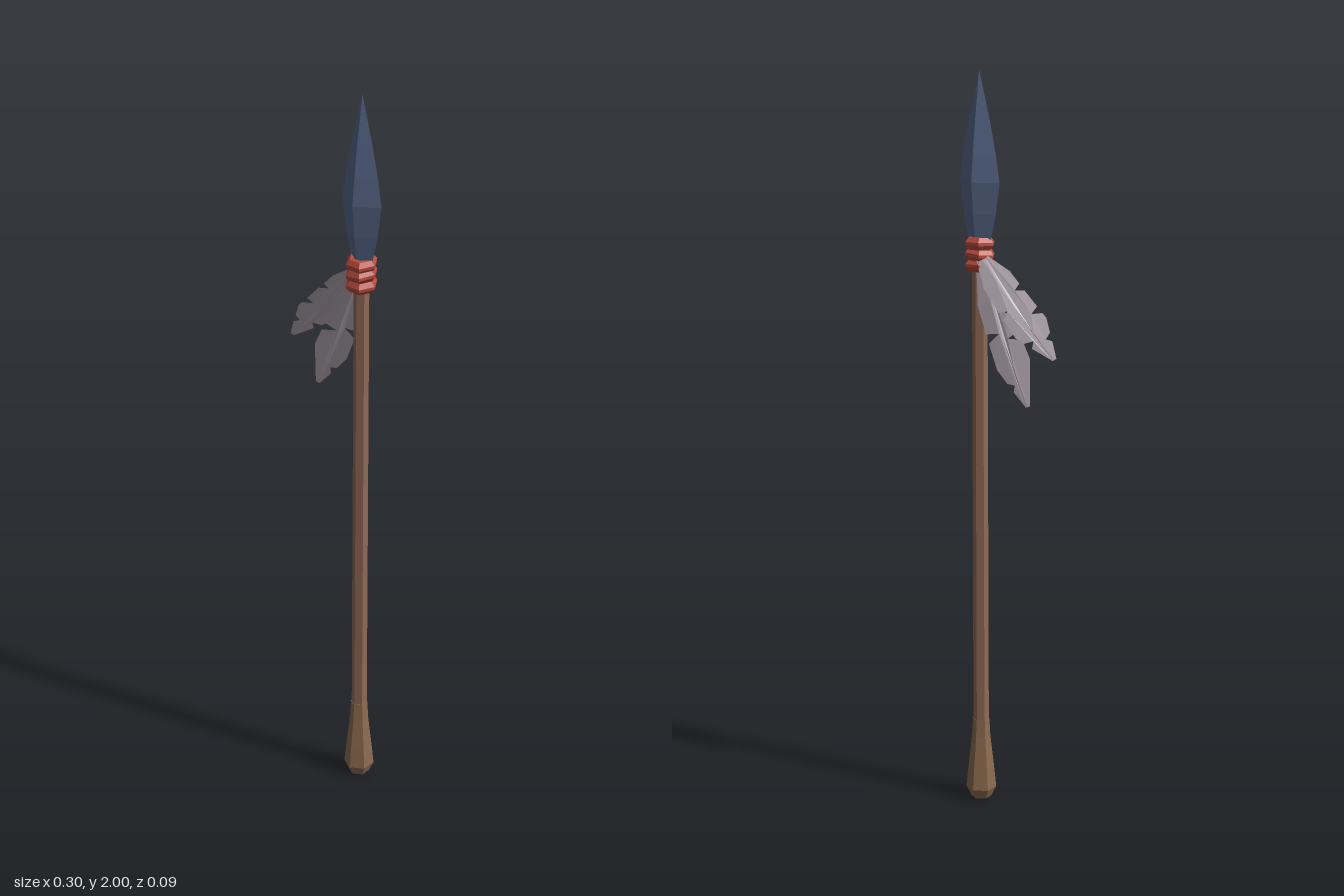
import * as THREE from 'three';
import { mergeGeometries } from 'three/addons/utils/BufferGeometryUtils.js';

const mat = (name, color, side = THREE.FrontSide) =>
  Object.assign(new THREE.MeshStandardMaterial({ color, side, flatShading: true }), { name });

// Faceted solid of revolution from [radius, y] pairs, bottom to top
function turned(points, sides, phi = 0) {
  const g = new THREE.LatheGeometry(points.map(([r, y]) => new THREE.Vector2(r, y)), sides, phi)
    .toNonIndexed();
  g.computeVertexNormals();
  return g;
}

// One feather: two notched halves folded along the quill.
// start/end are [x, y]; quillZ gives z along the quill; slope tilts the blade across it.
function feather(start, end, width, quillZ, slope, notches) {
  const a = new THREE.Vector2(...start);
  const dir = new THREE.Vector2(...end).sub(a);
  const length = dir.length();
  dir.normalize();
  const across = new THREE.Vector2(-dir.y, dir.x); // towards the shaft, lower right
  const outline = u => u < 0.25 ? 0.2 + 0.65 * u / 0.25
    : u < 0.7 ? 0.85 + 0.15 * (u - 0.25) / 0.45 : 1 - 0.85 * (u - 0.7) / 0.3;
  const curve = new THREE.CatmullRomCurve3(quillZ.map((z, i) => new THREE.Vector3(i, 0, z)));

  const halves = [1, -1].map((side, i) => {
    const shape = new THREE.Shape();
    shape.moveTo(0, 0);
    shape.lineTo(0, side * outline(0));
    const edge = [0.25, 0.7].map(u => [u, outline(u)]);
    for (const [u, depth] of notches[i]) {
      edge.push([u - 0.03, outline(u - 0.03)], [u - 0.005, outline(u) * (1 - depth)],
        [u + 0.035, outline(u + 0.035)]);
    }
    edge.sort((p, q) => p[0] - q[0]).forEach(([u, v]) => shape.lineTo(u, side * v));
    shape.lineTo(1, side * 0.12);
    shape.lineTo(1, 0);
    for (const u of [0.75, 0.5, 0.25]) shape.lineTo(u, 0);
    const g = new THREE.ShapeGeometry(shape).toNonIndexed();
    const p = g.attributes.position;
    for (let k = 0; k < p.count; k++) {
      const u = p.getX(k), v = p.getY(k) * width / 2;
      p.setXYZ(k,
        a.x + dir.x * u * length + across.x * v,
        a.y + dir.y * u * length + across.y * v,
        curve.getPoint(u).z - slope * v + 0.12 * Math.abs(v));
    }
    g.computeVertexNormals();
    return g;
  });
  return mergeGeometries(halves);
}

export function createModel() {
  const model = new THREE.Group();
  model.name = 'spear';
  const wood = mat('shaft wood', 0x8f6a56);
  const buttWood = mat('butt wood', 0x8c6b50);
  const steel = mat('blue steel', 0x566788);
  const cord = mat('red cord', 0xb84a3e);
  const plume = mat('grey feather', 0xb3a8b1, THREE.DoubleSide);

  const add = (parent, name, geometry, material) => {
    const mesh = new THREE.Mesh(geometry, material);
    mesh.name = name;
    parent.add(mesh);
    return mesh;
  };

  // Everything turned shares the shaft axis
  const pole = new THREE.Group();
  pole.name = 'pole';
  pole.position.set(0.086, 0, 0.005);
  model.add(pole);

  add(pole, 'shaft', turned([[0.021, 0.2], [0.02, 1.57]], 6), wood);
  add(pole, 'butt', turned([[0, 0], [0.028, 0.002], [0.041, 0.03], [0.035, 0.09],
    [0.025, 0.18], [0.0225, 0.23], [0, 0.23]], 6), buttWood);

  // Diamond-section blade
  const blade = turned([[0, 1.555], [0.033, 1.555], [0.05, 1.63], [0.062, 1.715],
    [0.051, 1.785], [0.033, 1.87], [0, 2]], 4);
  blade.scale(1, 1, 0.6);
  blade.computeVertexNormals();
  add(pole, 'blade', blade, steel);

  // Three slightly slanted turns of cord
  for (let i = 0; i < 3; i++) {
    const ring = add(pole, 'binding', turned([[0.02, -0.016], [0.032, -0.016], [0.042, -0.004],
      [0.042, 0.004], [0.032, 0.016], [0.02, 0.016]], 6, Math.PI / 2), cord);
    ring.position.y = 1.493 + i * 0.029;
    ring.rotation.set(0.1, 0, i === 1 ? 0.07 : -0.04);
  }

  // Feathers hanging behind the binding
  add(model, 'upperFeather', feather([0.075, 1.53], [-0.15, 1.275], 0.078,
    [-0.02, -0.02, -0.016, -0.003], 0.7,
    [[[0.5, 0.5], [0.8, 0.6]], [[0.4, 0.45], [0.62, 0.5], [0.84, 0.5]]]), plume);
  add(model, 'lowerFeather', feather([0.07, 1.5], [-0.085, 1.145], 0.085,
    [-0.02, -0.028, -0.03, -0.028], 0.42,
    [[[0.48, 0.85], [0.84, 0.5]], [[0.36, 0.4], [0.53, 0.75]]]), plume);

  return model;
}
